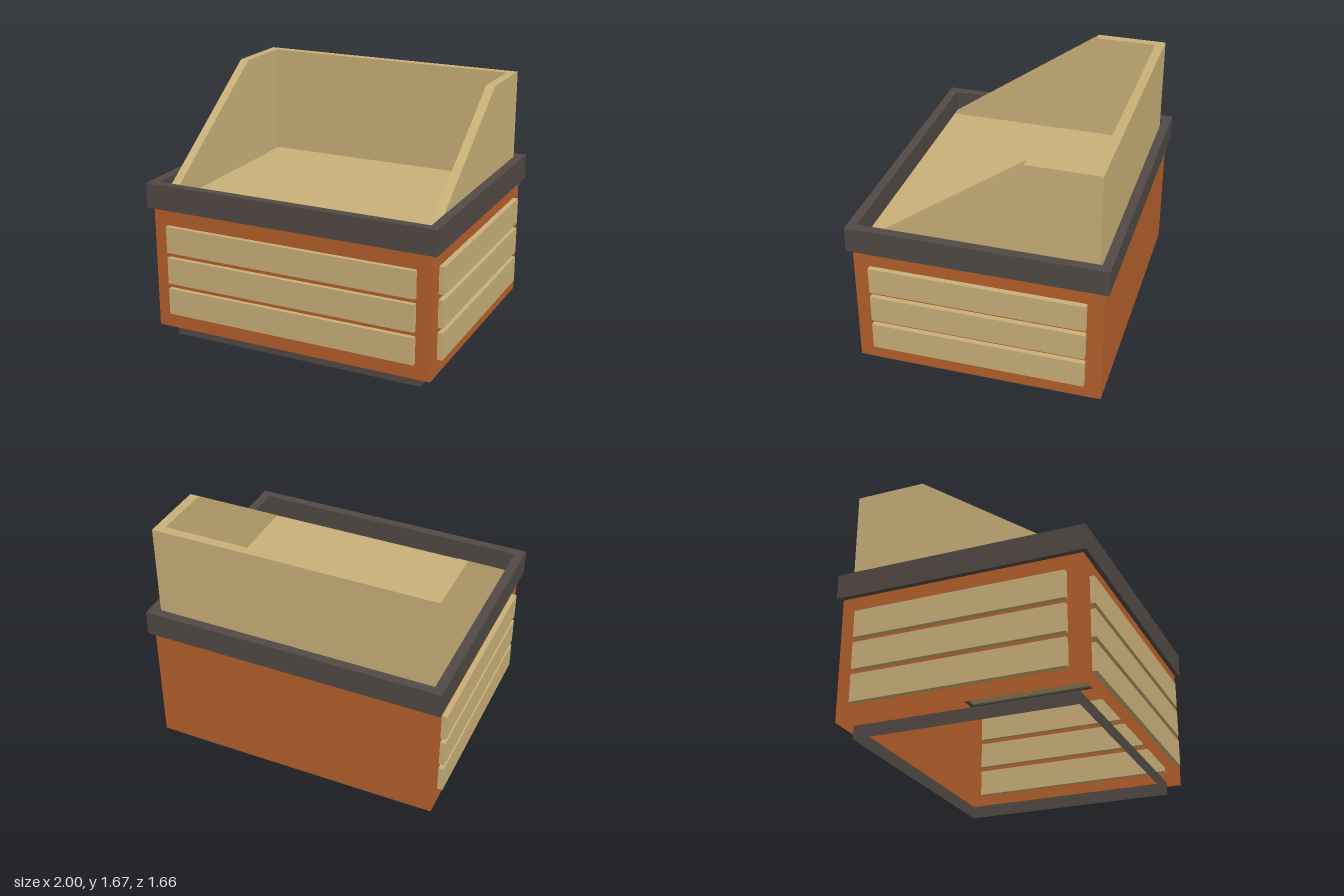
import * as THREE from 'three';

export function createModel() {
  const model = new THREE.Group();
  const mat = (name, color, side = THREE.FrontSide) => {
    const m = new THREE.MeshStandardMaterial({ color, side });
    m.name = name;
    return m;
  };
  const tan = mat('pale wood', 0xc9b078);
  const orange = mat('orange wood', 0xb5602b, THREE.DoubleSide);
  const dark = mat('dark trim', 0x514945, THREE.DoubleSide);

  const add = (parent, name, geometry, material) => {
    const mesh = new THREE.Mesh(geometry, material);
    mesh.name = name;
    parent.add(mesh);
    return mesh;
  };
  const group = (name) => {
    const g = new THREE.Group();
    g.name = name;
    model.add(g);
    return g;
  };
  // Box given by its limits
  const box = (parent, name, x0, x1, y0, y1, z0, z1, material) =>
    add(parent, name, new THREE.BoxGeometry(x1 - x0, y1 - y0, z1 - z0), material)
      .position.set((x0 + x1) / 2, (y0 + y1) / 2, (z0 + z1) / 2);

  // Four upright sheets, open above and below
  const sleeve = (name, hx, hz, y0, y1, material) => {
    const g = group(name);
    for (let i = 0; i < 4; i++) {
      const alongX = i % 2 === 0;
      const wall = add(g, name + 'Wall',
        new THREE.PlaneGeometry(2 * (alongX ? hx : hz), y1 - y0), material);
      const a = i * Math.PI / 2;
      wall.rotation.y = a;
      wall.position.set(Math.sin(a) * hx, (y0 + y1) / 2, Math.cos(a) * hz);
    }
  };
  sleeve('base', 0.875, 0.725, 0, 0.085, dark);
  sleeve('body', 0.965, 0.8, 0.085, 0.912, orange);

  // Planks pass through the front and side walls
  const planks = group('planks');
  for (const y of [0.19, 0.405, 0.62]) {
    box(planks, 'frontPlank', -0.865, 0.865, y, y + 0.18, 0.77, 0.83, tan);
    for (const s of [-1, 1])
      box(planks, 'sidePlank', s * 0.965 - 0.035, s * 0.965 + 0.035, y, y + 0.18, -0.695, 0.695, tan);
  }

  // Rim around the top: a rectangular frame
  const rect = (Type, hx, hz) => new Type([
    new THREE.Vector2(-hx, -hz), new THREE.Vector2(hx, -hz),
    new THREE.Vector2(hx, hz), new THREE.Vector2(-hx, hz)]);
  const frame = rect(THREE.Shape, 1, 0.83);
  frame.holes.push(rect(THREE.Path, 0.937, 0.77));
  const rimGeometry = new THREE.ExtrudeGeometry(frame, { depth: 0.167, bevelEnabled: false });
  rimGeometry.rotateX(-Math.PI / 2);
  add(model, 'rim', rimGeometry, dark).position.y = 0.91;

  // Display tray with a back panel and sloping sides
  const tray = group('displayTray');
  box(tray, 'floor', -0.935, 0.935, 0.922, 0.93, -0.768, 0.768, tan);
  box(tray, 'backPanel', -0.875, 0.875, 0.925, 1.67, -0.755, -0.695, tan);
  const side = new THREE.Shape([
    new THREE.Vector2(-0.768, 0.925), new THREE.Vector2(0.755, 0.925),
    new THREE.Vector2(0.755, 1.67), new THREE.Vector2(0.29, 1.67),
    new THREE.Vector2(-0.768, 0.931)]);
  const sideGeometry = new THREE.ExtrudeGeometry(side, { depth: 0.06, bevelEnabled: false });
  sideGeometry.rotateY(Math.PI / 2);
  for (const x of [-0.935, 0.875])
    add(tray, 'sidePanel', sideGeometry, tan).position.x = x;

  return model;
}
